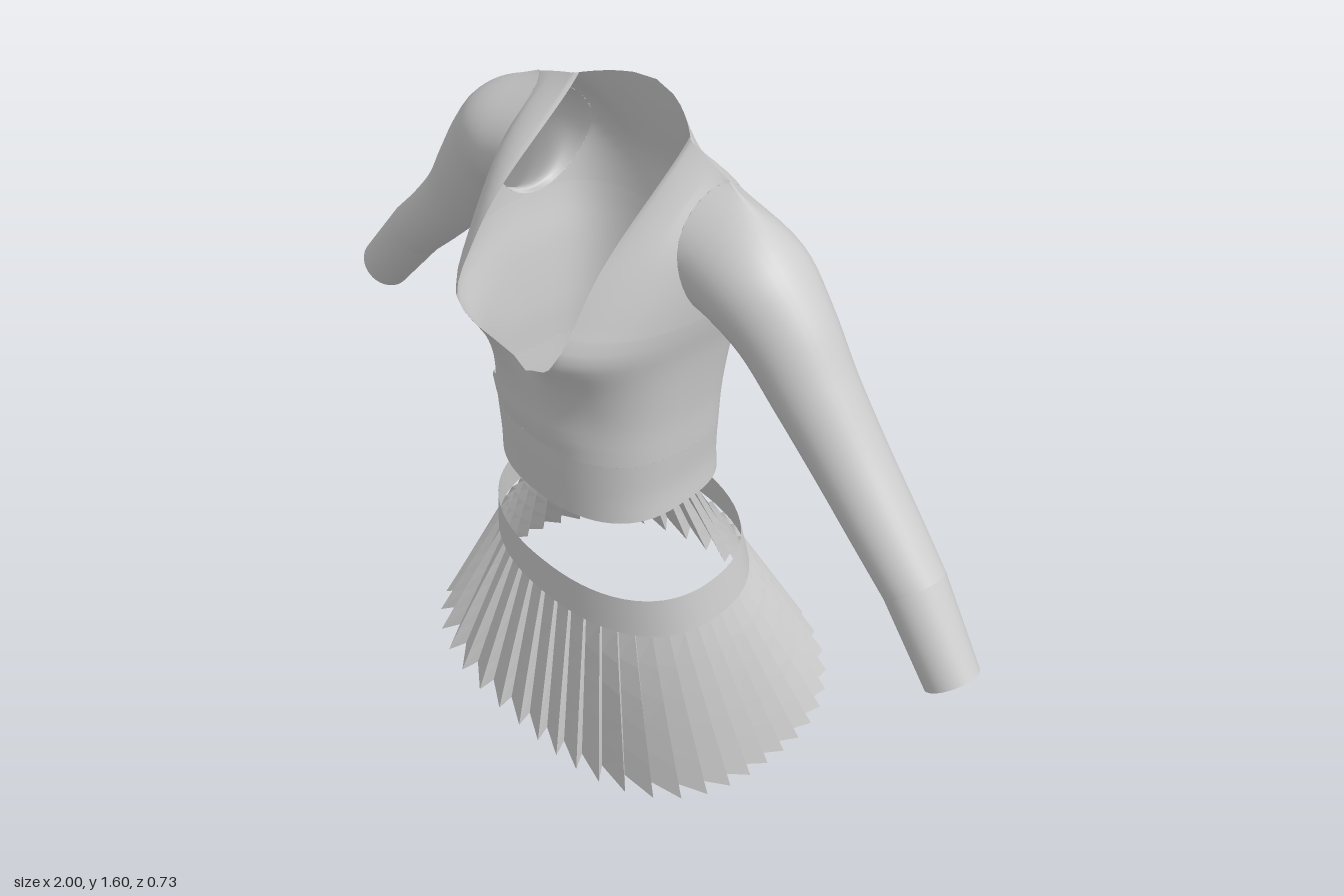
import * as THREE from 'three';
import { mergeVertices } from 'three/addons/utils/BufferGeometryUtils.js';

const smooth = new THREE.MeshStandardMaterial({ color: 0xcccccc, side: THREE.DoubleSide });
const faceted = new THREE.MeshStandardMaterial({ color: 0xcccccc, side: THREE.DoubleSide, flatShading: true });
const OFFSET = -0.022; // the torso sits slightly to its right
const clamp01 = t => Math.min(1, Math.max(0, t));
const spow = (v, e) => Math.sign(v) * Math.abs(v) ** e;

// smooth function through [key, value] pairs
function table(pts) {
  const slope = i => {
    const a = pts[Math.max(0, i - 1)], b = pts[Math.min(pts.length - 1, i + 1)];
    return (b[1] - a[1]) / (b[0] - a[0]);
  };
  return y => {
    let i = 0;
    while (i < pts.length - 2 && y > pts[i + 1][0]) i++;
    const [y0, v0] = pts[i], [y1, v1] = pts[i + 1], h = y1 - y0;
    const t = clamp01((y - y0) / h), t2 = t * t, t3 = t2 * t;
    return v0 * (2 * t3 - 3 * t2 + 1) + slope(i) * h * (t3 - 2 * t2 + t)
      + v1 * (3 * t2 - 2 * t3) + slope(i + 1) * h * (t3 - t2);
  };
}

// surface mesh from a rule fn(column, row) -> [x, y, z]
function surface(name, nu, nv, fn, material = smooth) {
  const pos = [], index = [];
  for (let j = 0; j <= nv; j++) for (let i = 0; i <= nu; i++) pos.push(...fn(i, j));
  for (let j = 0; j < nv; j++) for (let i = 0; i < nu; i++) {
    const a = j * (nu + 1) + i, b = a + nu + 1;
    index.push(a, a + 1, b, a + 1, b + 1, b);
  }
  let geo = new THREE.BufferGeometry();
  geo.setAttribute('position', new THREE.Float32BufferAttribute(pos, 3));
  geo.setIndex(index);
  geo = mergeVertices(geo, 1e-5);
  geo.computeVertexNormals();
  const mesh = new THREE.Mesh(geo, material);
  mesh.name = name;
  return mesh;
}

// torso profiles by height
const halfWidth = table([[0.7, 0.248], [0.76, 0.244], [0.85, 0.249], [0.95, 0.253], [1.1, 0.272], [1.22, 0.298], [1.36, 0.308], [1.52, 0.295]]);
const frontZ = table([[0.7, 0.272], [0.85, 0.285], [0.97, 0.292], [1.06, 0.322], [1.12, 0.362], [1.17, 0.386], [1.25, 0.338], [1.36, 0.255], [1.47, 0.165], [1.52, 0.11]]);
const backZ = table([[0.7, -0.112], [0.85, -0.112], [0.98, -0.122], [1.2, -0.148], [1.33, -0.15], [1.43, -0.128], [1.52, -0.105]]);
const middleZ = table([[0.7, 0.08], [1.0, 0.07], [1.22, 0.04], [1.36, 0.02], [1.52, 0.01]]);
const neckEdge = table([[0.85, -0.24], [0.9, -0.19], [1.04, 0], [1.09, 0.075], [1.13, 0.13], [1.19, 0.167], [1.28, 0.172], [1.52, 0.17]]);
const PF = 2.4, PB = 3.2;
const HOLE = { y: 1.37, z: 0.01, ry: 0.15, rz: 0.12 };

// point on the torso at angle a (pi/2 = front) and height y
function torso(a, y) {
  const c = Math.cos(a), s = Math.sin(a), p = s > 0 ? PF : PB, zc = middleZ(y);
  const x = halfWidth(y) * spow(c, 2 / p);
  let z = zc + (s > 0 ? frontZ(y) - zc : zc - backZ(y)) * spow(s, 2 / p);
  if (s > 0) z -= 0.075 * Math.exp(-((x / 0.075) ** 2) - ((y - 1.17) / 0.1) ** 2);
  // close over the shoulder, rounder towards the arm
  const rise = clamp01((y - 1.3) / 0.22);
  const shoulder = -0.07 + 0.07 * Math.min(1, (x / 0.18) ** 2);
  z += (shoulder - z) * rise ** (2 + 2 * clamp01((Math.abs(x) - 0.15) / 0.1));
  const lift = 0.077 * rise ** 2 * Math.max(0, 1 - (Math.abs(x) / 0.29) ** 1.6);
  return [x, y + lift, z];
}

// angle where a row of the torso meets the side seam or armhole
function edgeAngle(y, dir) {
  const q = Math.sqrt(Math.max(0, 1 - ((y - HOLE.y) / HOLE.ry) ** 2));
  const d = HOLE.z + dir * HOLE.rz * q - middleZ(y);
  const depth = d > 0 ? frontZ(y) - middleZ(y) : middleZ(y) - backZ(y);
  return Math.asin(spow(Math.min(1, Math.abs(d) / depth), (d > 0 ? PF : PB) / 2) * Math.sign(d));
}

const LOW = 14, HIGH = 20;
const rowY = j => j <= LOW ? 0.85 + 0.37 * j / LOW
  : HOLE.y - HOLE.ry * Math.cos(Math.PI * (j - LOW) / HIGH);

function createBodice() {
  const g = new THREE.Group();
  g.name = 'bodice';
  g.position.x = OFFSET;
  // crossed front panels, the left one lying on top
  for (const s of [1, -1]) {
    g.add(surface(s > 0 ? 'leftFrontPanel' : 'rightFrontPanel', 28, LOW + HIGH, (i, j) => {
      const y = rowY(j), w = halfWidth(y);
      const inner = Math.acos(spow(Math.max(-0.99, neckEdge(y) / w), PF / 2));
      const a = inner + (edgeAngle(y, 1) - inner) * i / 28;
      const [px, py, pz] = torso(a, y);
      const over = s > 0 ? 0.008 * clamp01((0.16 - px) / 0.1) * clamp01((1.15 - y) / 0.08) * clamp01((y - 0.85) / 0.05) : 0;
      return [s * px, py, pz + over];
    }));
  }
  g.add(surface('backPanel', 40, LOW + HIGH, (i, j) => {
    const y = rowY(j), a = edgeAngle(y, -1);
    return torso(a + (-Math.PI - 2 * a) * i / 40, y);
  }));
  // band under the bust, its hem dipping to the front
  g.add(surface('hemBand', 64, 6, (i, j) => {
    const y = 0.7 + 0.025 * j, [x, , z] = torso((i % 64) / 64 * Math.PI * 2, y);
    return [x, y + (0.85 - y) / 0.15 * (0.08 - z) * 0.08, z];
  }));
  return g;
}

// sleeve stations: centre x, centre y, radius across, radius in z, centre z
const LEFT = [[0.372, 1.335, 0.123, 0.118, 0.016], [0.457, 1.262, 0.107, 0.104, 0.012], [0.54, 1.158, 0.093, 0.092, 0.008],
  [0.64, 1.035, 0.081, 0.083, 0], [0.74, 0.922, 0.073, 0.077, -0.004], [0.83, 0.822, 0.067, 0.07, -0.006], [0.951, 0.645, 0.061, 0.06, -0.006]];
const RIGHT = [[0.393, 1.337, 0.123, 0.118, 0.016], [0.467, 1.27, 0.107, 0.104, 0.012], [0.54, 1.178, 0.093, 0.092, 0.008],
  [0.62, 1.07, 0.081, 0.083, 0], [0.715, 0.965, 0.073, 0.077, -0.004], [0.805, 0.875, 0.069, 0.07, -0.006], [0.95, 0.7, 0.063, 0.06, -0.006]];

function createSleeve(s, stations, side) {
  const g = new THREE.Group(), N = 36;
  g.name = side + 'Sleeve';
  const path = [[0.29 + s * OFFSET, HOLE.y], ...stations];
  const ringPoint = (k, phi) => {
    const c = Math.cos(phi), sn = Math.sin(phi);
    if (k === 0) { // follows the armhole
      const y = HOLE.y + HOLE.ry * c;
      const [x, py, z] = torso(edgeAngle(y, sn < 0 ? -1 : 1), y);
      return new THREE.Vector3(s * x + OFFSET, py, z);
    }
    const [x, y, r, rz, cz] = path[k];
    const p = path[k - 1], n = path[Math.min(path.length - 1, k + 1)];
    const dx = n[0] - p[0], dy = n[1] - p[1], len = Math.hypot(dx, dy);
    return new THREE.Vector3(s * (x - dy / len * r * c), y + dx / len * r * c, cz + rz * sn);
  };
  const part = (name, first, last, rows) => {
    const columns = [];
    for (let i = 0; i < N; i++) {
      const pts = [];
      for (let k = first; k <= last; k++) pts.push(ringPoint(k, i / N * Math.PI * 2));
      columns.push(new THREE.CatmullRomCurve3(pts));
    }
    g.add(surface(name, N, rows, (i, j) => columns[i % N].getPoint(j / rows).toArray()));
  };
  part(side + 'SleeveArm', 0, 6, 30);
  part(side + 'SleeveCuff', 6, 7, 4);
  return g;
}

function createSkirt() {
  const g = new THREE.Group();
  g.name = 'skirt';
  // rounded-square oval, n sets how square
  const oval = (a, cx, rx, cz, rz, n = 2.3) => {
    const c = Math.cos(a), s = Math.sin(a), r = (Math.abs(c) ** n + Math.abs(s) ** n) ** (-1 / n);
    return [cx + rx * c * r, cz + rz * s * r];
  };
  const bandTop = a => { const [x, z] = oval(a, -0.027, 0.322, 0.04, 0.218); return [x, 0.51 - 0.15 * z, z]; };
  const bandBottom = a => { const [x, z] = oval(a, -0.025, 0.337, 0.03, 0.226); return [x, 0.41 - 0.16 * z, z]; };
  const mix = (p, q, t) => p.map((v, k) => v + (q[k] - v) * t);

  g.add(surface('waistband', 72, 4, (i, j) => {
    const a = (i % 72) / 72 * Math.PI * 2;
    return mix(bandBottom(a), bandTop(a), j / 4);
  }));

  // knife pleats: each wide face runs outward, then folds back beneath itself
  const PLEATS = 46, ROWS = 5;
  g.add(surface('pleats', PLEATS * 2, ROWS, (i, j) => {
    const n = i % (PLEATS * 2), tip = n % 2, t = j / ROWS;
    const a = -((n >> 1) + tip * (1 + 0.2 * t)) / PLEATS * Math.PI * 2;
    const drop = tip ? 0 : 0.042, front = Math.sin(a) > 0;
    const [x, z] = oval(a, -0.015, 0.505 - drop, 0, 0.372 - drop, front ? 2.8 : 2.3);
    // the hem dips and draws in at the centre front
    const dip = front ? Math.exp(-((x / 0.22) ** 2)) : 0;
    const p = mix(bandBottom(a), [x, 0.073 - 0.1 * z - 0.036 * dip, z - 0.025 * dip], t);
    const tuck = tip ? 0 : 0.012 * (1 - t);
    return [p[0] - Math.cos(a) * tuck, p[1], p[2] - Math.sin(a) * tuck];
  }, faceted));
  return g;
}

export function createModel() {
  const model = new THREE.Group();
  model.name = 'outfit';
  model.add(createBodice(), createSleeve(1, LEFT, 'left'), createSleeve(-1, RIGHT, 'right'), createSkirt());
  return model;
}
